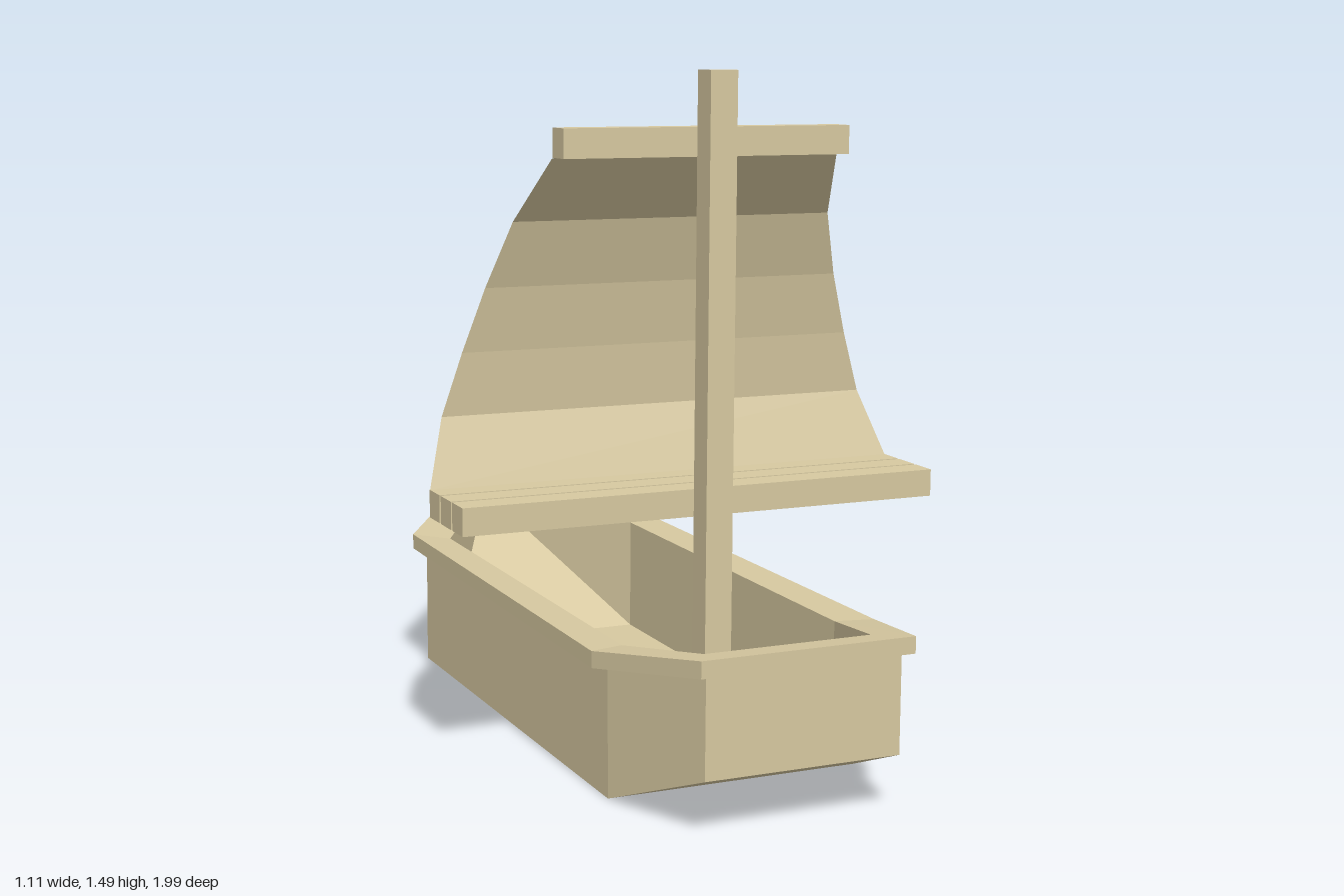
import * as THREE from 'three';

const wood = new THREE.MeshStandardMaterial({ color: 0xd6c8a0 });
wood.name = 'pale wood';
const cloth = wood.clone();
cloth.name = 'pale cloth';
cloth.side = THREE.DoubleSide;

// Mirrored deck outline: right half from stern to bow tip, then back along the other side
function ring(stern, mid, bow, tip) {
  const half = [stern, mid, bow];
  const pts = [...half, tip, ...half.map(([x, y, z]) => [-x, y, z]).reverse()];
  return pts.map((p) => new THREE.Vector3(...p));
}

// Skin consecutive rings, closing the first and last ones with a floor
function skin(rings) {
  const pos = [];
  const tri = (...pts) => pts.forEach((p) => pos.push(p.x, p.y, p.z));
  const quad = (a, b, c, d) => { tri(a, b, c); tri(a, c, d); };
  for (let r = 0; r + 1 < rings.length; r++) {
    const a = rings[r], b = rings[r + 1];
    for (let i = 0; i < a.length; i++) {
      const j = (i + 1) % a.length;
      quad(a[i], a[j], b[j], b[i]);
    }
  }
  const floor = (g, up) => {
    for (const f of [[0, 1, 5], [0, 5, 6], [1, 2, 4], [1, 4, 5], [2, 3, 4]]) {
      const t = f.map((k) => g[k]);
      tri(...(up ? t : t.reverse()));
    }
  };
  floor(rings[0], false);
  floor(rings[rings.length - 1], true);
  const geo = new THREE.BufferGeometry();
  geo.setAttribute('position', new THREE.Float32BufferAttribute(pos, 3));
  geo.computeVertexNormals();
  return geo;
}

export function createModel() {
  const model = new THREE.Group();
  const boat = new THREE.Group();
  boat.name = 'boat';
  boat.rotation.set(0.009, -0.0175, 0); // slight lean and turn
  boat.position.x = 0.002;
  model.add(boat);

  const add = (name, geo, material = wood) => {
    const mesh = new THREE.Mesh(geo, material);
    mesh.name = name;
    boat.add(mesh);
    return mesh;
  };
  const box = (name, w, h, d, x, y, z) =>
    add(name, new THREE.BoxGeometry(w, h, d)).position.set(x, y, z);

  // Hull: outside planking, overhanging rim, inside walls and floor
  add('hull', skin([
    ring([0.218, 0.129, 0.968], [0.29, 0.006, 0.66], [0.292, 0.006, -0.49], [0, 0.325, -0.965]),
    ring([0.218, 0.338, 0.968], [0.29, 0.29, 0.655], [0.292, 0.29, -0.49], [0, 0.325, -0.965]),
    ring([0.238, 0.343, 0.988], [0.33, 0.29, 0.665], [0.323, 0.29, -0.505], [0, 0.327, -1]),
    ring([0.238, 0.379, 0.988], [0.33, 0.326, 0.665], [0.323, 0.326, -0.505], [0, 0.363, -1]),
    ring([0.188, 0.364, 0.895], [0.25, 0.322, 0.635], [0.247, 0.322, -0.44], [0, 0.353, -0.86]),
    ring([0.188, 0.16, 0.895], [0.25, 0.05, 0.635], [0.247, 0.05, -0.44], [0, 0.345, -0.86]),
  ]));

  // Mast, top yard and the three boom planks
  box('mast', 0.062, 1.447, 0.062, 0.004, 0.7715, 0.539);
  box('yard', 0.662, 0.062, 0.06, 0.003, 1.346, 0.478);
  for (let i = 0; i < 3; i++) {
    box('boomPlank', 1.11, 0.06, 0.064, 0.005, 0.579, 0.332 + i * 0.072);
  }

  // Billowing sail, widening evenly towards the boom
  const profile = [[1.314, 0.449], [1.176, 0.335], [1.033, 0.287], [0.893, 0.262], [0.755, 0.251], [0.609, 0.306]];
  const sail = new THREE.PlaneGeometry(1, 1, 1, profile.length - 1);
  const p = sail.attributes.position;
  for (let i = 0; i < p.count; i++) {
    const [y, z] = profile[Math.floor(i / 2)];
    const halfWidth = 0.333 + (1.314 - y) * 0.315;
    p.setXYZ(i, 0.004 + Math.sign(p.getX(i)) * halfWidth, y, z);
  }
  const flat = sail.toNonIndexed();
  flat.computeVertexNormals();
  add('sail', flat, cloth);

  return model;
}
